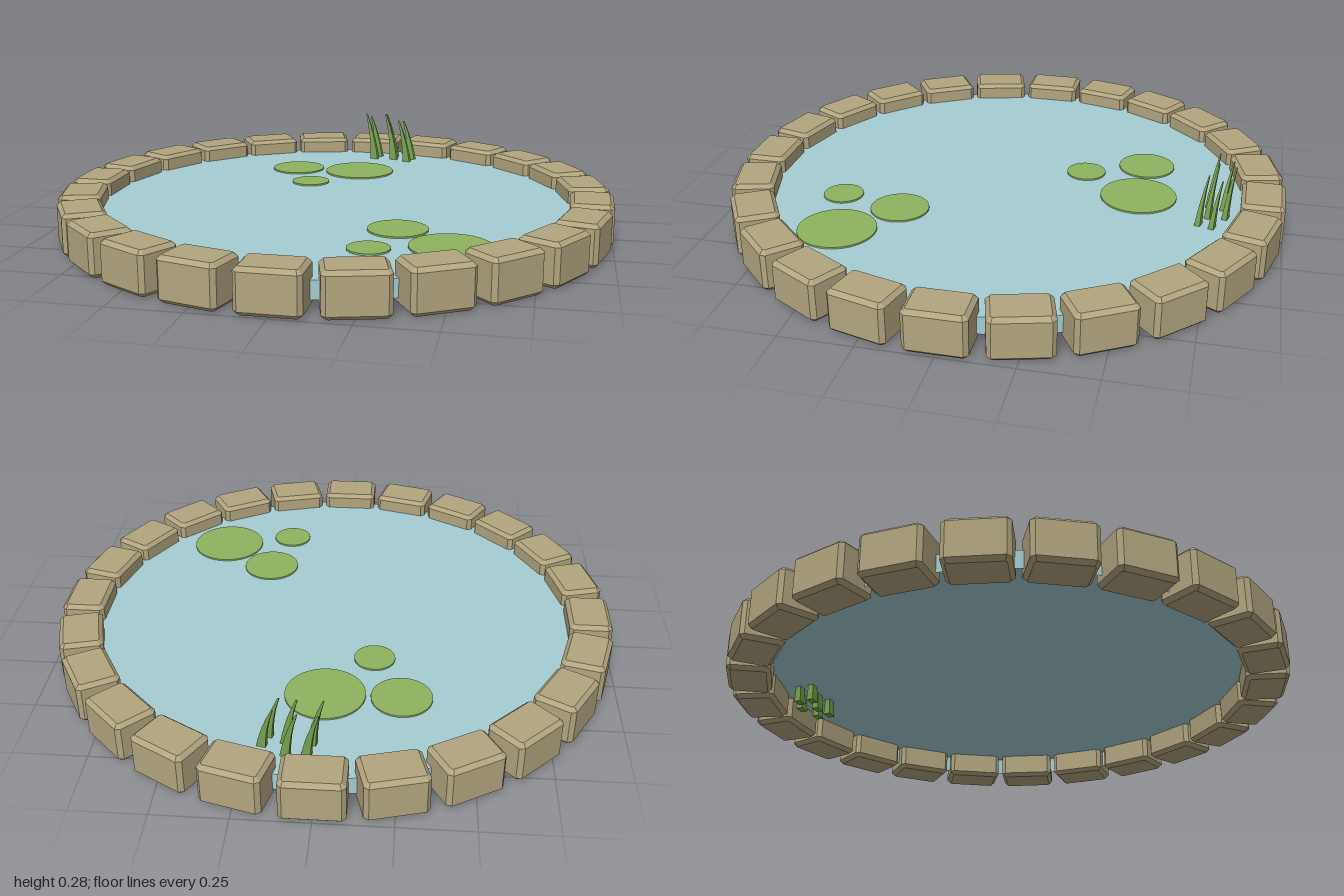
import * as THREE from 'three';

const mat = (color, flatShading = false) => new THREE.MeshStandardMaterial({ color, flatShading });

// Block with every edge cut at 45 degrees, standing on y = 0
function chamferedBlock(w, h, d, c) {
  const x = w / 2, y = d / 2;
  const outline = [
    [x - c, -y], [x, c - y], [x, y - c], [x - c, y],
    [c - x, y], [-x, y - c], [-x, c - y], [c - x, -y],
  ].map(([px, py]) => new THREE.Vector2(px, py));
  const geo = new THREE.ExtrudeGeometry(new THREE.Shape(outline), {
    depth: h - 2 * c, bevelEnabled: true, bevelSegments: 1,
    bevelThickness: c, bevelSize: c, bevelOffset: -c,
  });
  geo.translate(0, 0, c);
  geo.rotateX(-Math.PI / 2);
  return geo;
}

// Tapering four-sided blade that bends over more and more towards its tip
function bladeGeometry(height, leanX, leanZ) {
  const geo = new THREE.BoxGeometry(0.04, height, 0.025, 1, 5, 1);
  const p = geo.attributes.position;
  for (let i = 0; i < p.count; i++) {
    const t = THREE.MathUtils.clamp(p.getY(i) / height + 0.5, 0, 1);
    const taper = 1 - 0.85 * t;
    p.setXYZ(i, p.getX(i) * taper + leanX * t * t, t * height, p.getZ(i) * taper + leanZ * t * t);
  }
  geo.computeVertexNormals();
  return geo;
}

export function createModel() {
  const model = new THREE.Group();
  model.name = 'pond';
  const add = (parent, name, geo, material, x, y, z) => {
    const mesh = new THREE.Mesh(geo, material);
    mesh.name = name;
    mesh.position.set(x, y, z);
    parent.add(mesh);
    return mesh;
  };
  const group = (name) => {
    const g = new THREE.Group();
    g.name = name;
    model.add(g);
    return g;
  };

  // Water: a surface disc with a rim wall, open underneath
  const water = group('water');
  const waterMat = mat(0xa4cdd3);
  waterMat.side = THREE.DoubleSide;
  add(water, 'waterSurface', new THREE.CircleGeometry(0.9, 64).rotateX(-Math.PI / 2), waterMat, 0, 0.09, 0);
  add(water, 'waterWall', new THREE.CylinderGeometry(0.9, 0.9, 0.062, 64, 1, true), waterMat, 0, 0.059, 0);

  // Ring of border stones
  const stones = group('stoneBorder');
  const stoneGeo = chamferedBlock(0.209, 0.15, 0.152, 0.014);
  const stoneMat = mat(0xb2a57f, true);
  const count = 24, radius = 0.924;
  for (let i = 0; i < count; i++) {
    const a = (i / count) * Math.PI * 2;
    const stone = add(stones, 'borderStone', stoneGeo, stoneMat,
      Math.sin(a) * radius, 0, Math.cos(a) * radius);
    stone.rotation.y = a;
  }

  // Two clusters of lily pads lying on the water: x, z, radius
  const pads = group('lilyPads');
  const padMat = mat(0x8db25e);
  for (const [x, z, r] of [
    [0, -0.483, 0.137], [-0.257, -0.485, 0.104], [-0.157, -0.267, 0.072],
    [0.475, 0.495, 0.137], [0.28, 0.332, 0.104], [0.22, 0.565, 0.072],
  ]) {
    add(pads, 'lilyPad', new THREE.CylinderGeometry(r, r, 0.006, 40), padMat, x, 0.0935, z);
  }

  // Tuft of reeds near the back edge, rooted below the surface: base x, base z, height
  const reeds = group('reeds');
  const reedMat = mat(0x76a04e, true);
  for (const [x, z, h] of [
    [0.036, -0.787, 0.23], [0.102, -0.797, 0.24], [0.182, -0.755, 0.22],
    [0.024, -0.737, 0.25], [0.107, -0.738, 0.25], [0.167, -0.708, 0.23],
  ]) {
    const blade = add(reeds, 'reedBlade', bladeGeometry(h, -0.048, -0.014), reedMat, x, 0.03, z);
    blade.rotation.y = -0.25;
  }

  return model;
}
